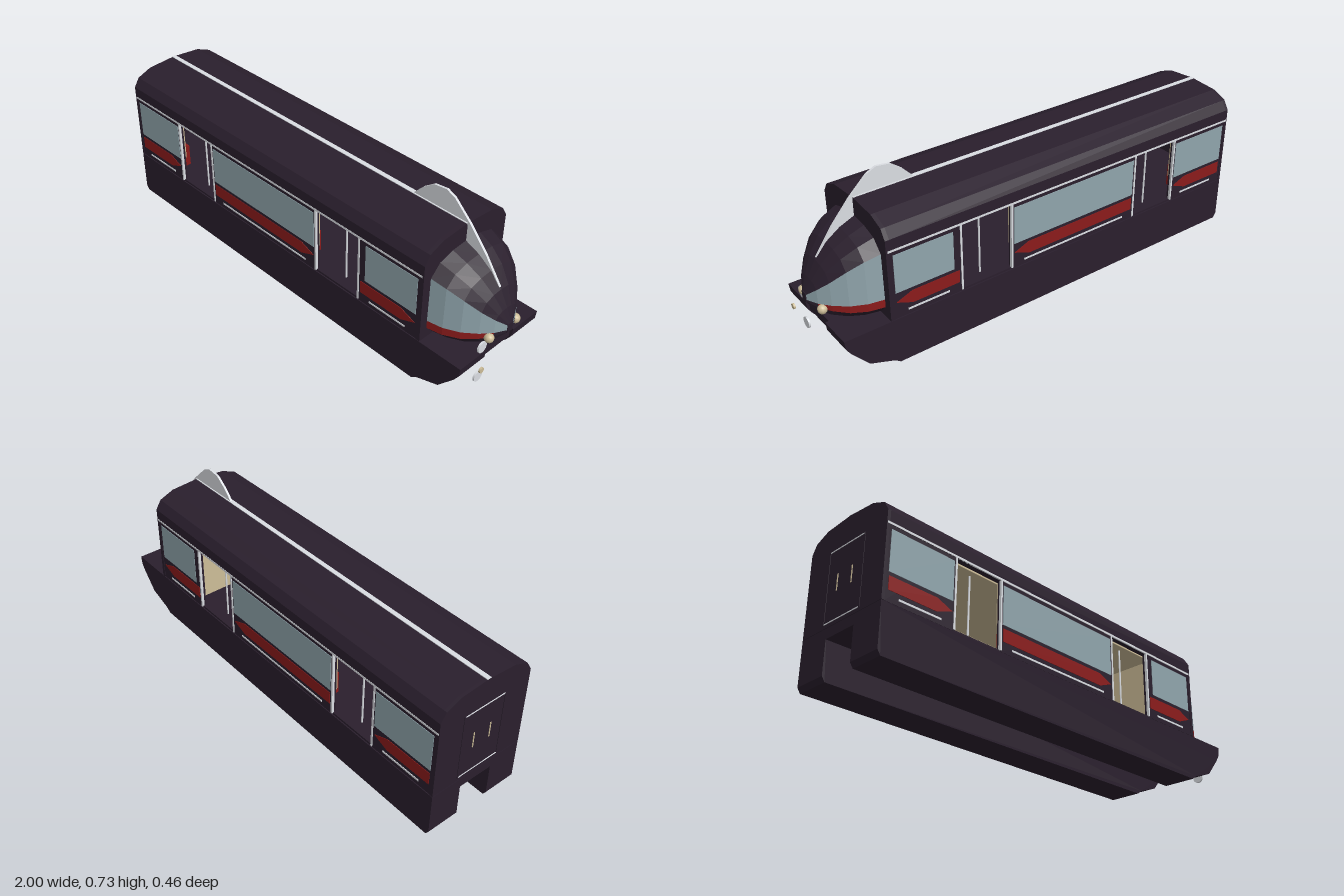
import * as THREE from 'three';

const mat = (name, color) => {
  const m = new THREE.MeshStandardMaterial({ color });
  m.name = name;
  return m;
};

export function createModel() {
  const body = mat('dark plum', 0x2a1f2d);
  const glass = mat('window glass', 0x90a5ac);
  const red = mat('red', 0x8b1b1b);
  const light = mat('light grey trim', 0xdadde2);
  const tan = mat('tan', 0xcdbd98);

  const train = new THREE.Group();
  train.name = 'monorailCar';

  const add = (name, geo, material) => {
    const m = new THREE.Mesh(geo, material);
    m.name = name;
    train.add(m);
    return m;
  };
  // box given by its limits on each axis
  const box = (name, material, x0, x1, y0, y1, z0, z1) =>
    add(name, new THREE.BoxGeometry(x1 - x0, y1 - y0, Math.abs(z1 - z0))
      .translate((x0 + x1) / 2, (y0 + y1) / 2, (z0 + z1) / 2), material);
  const shapeOf = pts => new THREE.Shape(pts.map(p => new THREE.Vector2(p[0], p[1])));
  const extrude = (pts, depth) =>
    new THREE.ExtrudeGeometry(shapeOf(pts), { depth, bevelEnabled: false });
  // extrude a (z, y) section along x
  const alongX = (name, pts, x0, x1) =>
    add(name, extrude(pts, x1 - x0).rotateY(Math.PI / 2).translate(x0, 0, 0), body);

  // roof and end walls share the rounded section
  const section = y => {
    const half = [[0.227, y], [0.227, 0.56], [0.202, 0.6], [0.135, 0.627]];
    return [...half, [0, 0.637], ...half.map(([z, v]) => [-z, v]).reverse()];
  };
  alongX('roof', section(0.505), -0.985, 0.75);
  alongX('rearWall', section(0.205), -0.998, -0.985);
  alongX('frontArch', section(0.205), 0.75, 0.767);
  box('floor', body, -0.99, 0.76, 0.2, 0.212, -0.222, 0.222);
  box('ceiling', tan, -0.984, 0.5, 0.498, 0.505, -0.2, 0.2);
  box('cabPartition', tan, 0.5, 0.508, 0.212, 0.5, -0.2, 0.2);
  box('roofStripe', light, -0.998, 0.767, 0.632, 0.639, -0.01, 0.01);

  // chassis and the two skirts that straddle the beam
  box('chassis', body, -0.998, 0.95, 0.16, 0.203, -0.085, 0.085);
  const skirt = [[-0.998, 0.203], [-0.998, 0.02], [-0.985, 0], [0.74, 0], [0.765, 0.018],
    [0.87, 0.055], [0.94, 0.135], [0.96, 0.165], [0.965, 0.203]];
  for (const z of [-0.227, 0.08]) {
    add('skirt', extrude(skirt, 0.147).translate(0, 0, z), body);
  }

  // side walls, windows, stripes and open doorways, mirrored
  const bays = [[-0.985, -0.675], [-0.445, 0.205], [0.445, 0.75]];
  const doors = [[-0.675, -0.445], [0.205, 0.445]];
  for (const s of [1, -1]) {
    const out = (name, m, x0, x1, y0, y1, proud = 0.002) =>
      box(name, m, x0, x1, y0, y1, s * 0.222, s * (0.225 + proud));

    bays.forEach(([a, b], i) => {
      box('sideWall', body, a, b, 0.205, 0.506, s * 0.205, s * 0.225);
      const wa = i === 2 ? a + 0.035 : a + 0.01;
      out('sideWindow', glass, wa, b - 0.01, 0.32, 0.488);
      out('lowerTrim', light, a + 0.06, b - 0.06, 0.224, 0.232);
      const l = a + 0.012, r = b - 0.012;
      const stripe = [[l, 0.25], [r - 0.07, 0.25], [r, 0.278], [r - 0.07, 0.305], [l, 0.305]];
      add('redStripe', extrude(stripe, 0.004).translate(0, 0, s * 0.225 - 0.002), red);
      // interior lining and bench
      if (i < 2) {
        box('lining', tan, a, b, 0.32, 0.5, s * 0.2, s * 0.205);
        box('bench', red, a + 0.06, b - 0.06, 0.23, 0.33, s * 0.14, s * 0.2);
      }
    });
    out('upperTrim', light, -0.995, 0.76, 0.505, 0.514, 0.003);

    for (const [a, b] of doors) {
      for (const x of [a, b]) {
        box('doorFrame', light, x - 0.004, x + 0.004, 0.21, 0.507, s * 0.217, s * 0.228);
      }
      add('doorPole', new THREE.CylinderGeometry(0.004, 0.004, 0.29, 8)
        .translate((a + b) / 2, 0.355, s * 0.17), light);
    }
  }

  // rear door outline and handles
  for (const s of [1, -1]) {
    box('rearDoorEdge', body, -1, -0.996, 0.22, 0.52, s * 0.1, s * 0.106);
    box('rearDoorHandle', tan, -1, -0.996, 0.34, 0.41, s * 0.04, s * 0.045);
  }
  for (const y of [0.22, 0.515]) box('rearDoorRail', light, -1, -0.996, y, y + 0.004, -0.1, 0.1);

  // nose stations: x, half width, bottom, stripe low, stripe top, glass top, crown
  const stations = [
    [0.765, 0.192, 0.213, 0.25, 0.285, 0.485, 0.56],
    [0.83, 0.178, 0.216, 0.25, 0.284, 0.468, 0.533],
    [0.89, 0.148, 0.222, 0.252, 0.283, 0.432, 0.492],
    [0.94, 0.105, 0.232, 0.258, 0.283, 0.383, 0.433],
    [0.975, 0.062, 0.248, 0.264, 0.283, 0.343, 0.368],
    [0.998, 0.016, 0.268, 0.274, 0.283, 0.306, 0.314],
  ].map(([x, w, b, r0, r1, g, t]) => [
    [0, b], [w * 0.82, b], [w, r0], [w, r1], [w * 0.985, g],
    [w * 0.75, g + (t - g) * 0.65], [w * 0.4, g + (t - g) * 0.92], [0, t],
  ].map(([z, y]) => [x, y, z]));
  const last = stations.length - 1;
  // panel strip between profile rows k0..k1 and stations i0..i1, mirrored
  const noseBand = (name, material, k0, k1, i0 = 0, i1 = last) => {
    const pos = [];
    const tri = (a, b, c) => {
      pos.push(...a, ...b, ...c);
      for (const p of [a, c, b]) pos.push(p[0], p[1], -p[2]);
    };
    for (let k = k0; k < k1; k++) {
      for (let i = i0; i < i1; i++) {
        const [p, q] = [stations[i], stations[i + 1]];
        tri(p[k], q[k], q[k + 1]);
        tri(p[k], q[k + 1], p[k + 1]);
      }
    }
    const geo = new THREE.BufferGeometry();
    geo.setAttribute('position', new THREE.Float32BufferAttribute(pos, 3));
    geo.computeVertexNormals();
    add(name, geo, material);
  };
  noseBand('noseUnderside', body, 0, 2);
  noseBand('noseStripe', red, 2, 3, 0, last - 1);
  noseBand('noseStripeEnd', body, 2, 3, last - 1, last);
  noseBand('windscreen', glass, 3, 4);
  noseBand('noseCrown', body, 4, 7);
  box('noseTip', body, 0.975, 1, 0.27, 0.31, -0.015, 0.015);

  // dorsal fin
  const fin = [[0.5, 0.632], [0.55, 0.685], [0.6, 0.722], [0.66, 0.73], [0.7, 0.712],
    [0.78, 0.637], [0.86, 0.545], [0.935, 0.44], [0.89, 0.485], [0.83, 0.525], [0.765, 0.555], [0.75, 0.63]];
  add('fin', extrude(fin, 0.01).translate(0, 0, -0.005), light);

  // lamps and marker discs
  for (const s of [1, -1]) {
    add('headlight', new THREE.SphereGeometry(0.02, 10, 8).translate(0.967, 0.264, s * 0.077), tan);
  }
  const disc = (name, r, x, y, z, m) =>
    add(name, new THREE.CylinderGeometry(r, r, 0.008, 20).rotateZ(Math.PI / 2).translate(x, y, z), m);
  disc('upperMarkerDisc', 0.024, 0.962, 0.234, 0.107, light);
  disc('lowerMarkerDisc', 0.024, 0.958, 0.085, 0.107, light);
  disc('smallMarkerDisc', 0.012, 0.992, 0.16, 0.137, tan);

  return train;
}
